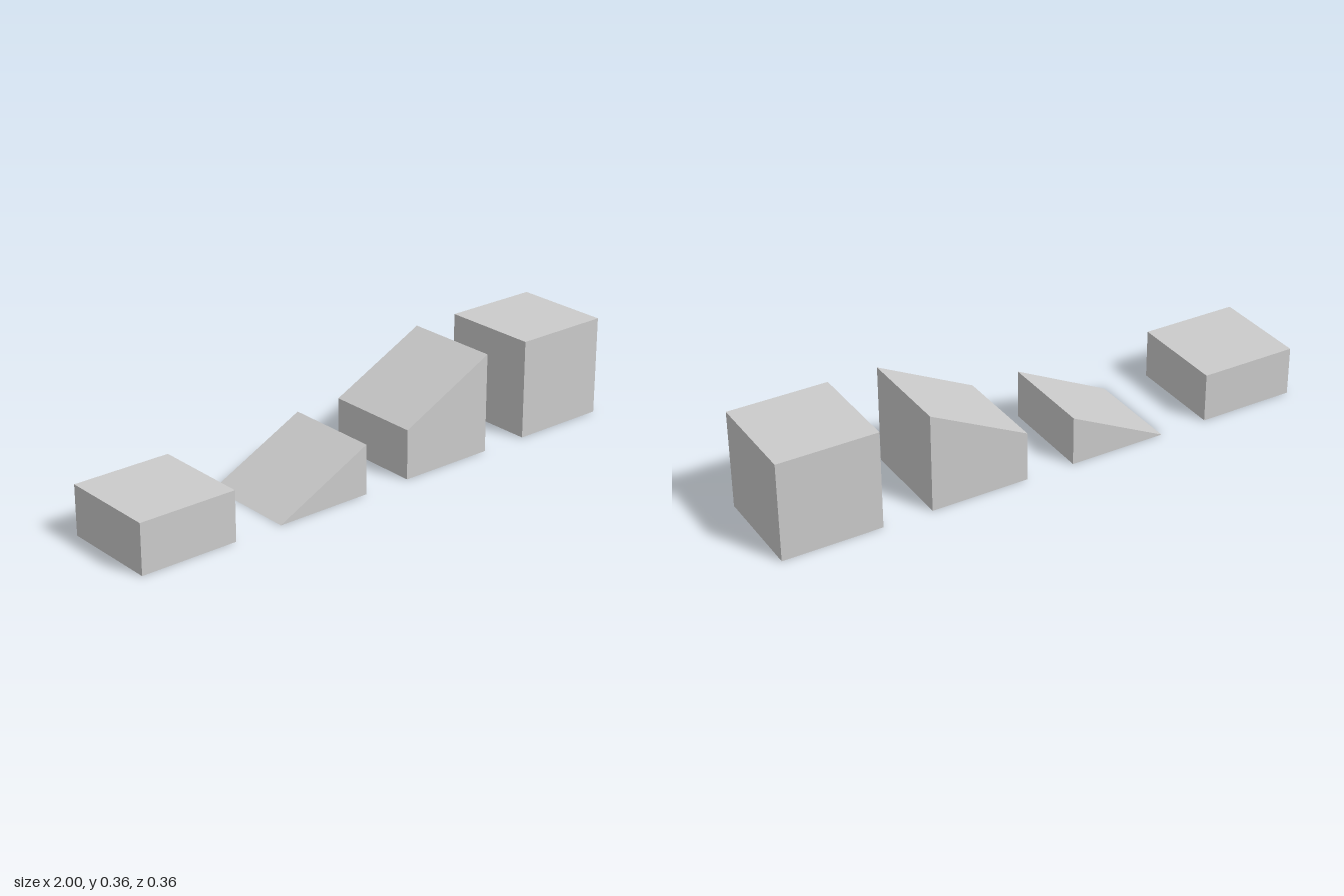
import * as THREE from 'three';

const SIZE = 4 / 11;          // footprint of every block
const HALF = SIZE / 2;        // height of the half-height block
const SPACING = SIZE * 1.5;   // distance between block centres

// Block with a square footprint whose top runs from leftY (at -x) to rightY (at +x)
function createBlock(name, leftY, rightY, material) {
  const shape = new THREE.Shape();
  shape.moveTo(-HALF, 0);
  shape.lineTo(HALF, 0);
  shape.lineTo(HALF, rightY);
  if (leftY > 0) shape.lineTo(-HALF, leftY);
  shape.closePath();

  const geometry = new THREE.ExtrudeGeometry(shape, { depth: SIZE, bevelEnabled: false });
  geometry.translate(0, 0, -HALF);
  const mesh = new THREE.Mesh(geometry, material);
  mesh.name = name;
  return mesh;
}

export function createModel() {
  const group = new THREE.Group();
  group.name = 'terrainBlocks';
  const material = new THREE.MeshStandardMaterial({ color: 0xcccccc, flatShading: true });

  // Row of blocks from -x to +x: name, left height, right height
  const blocks = [
    ['halfBlock', HALF, HALF],
    ['lowRamp', 0, HALF],
    ['highRamp', HALF, SIZE],
    ['fullBlock', SIZE, SIZE],
  ];
  blocks.forEach(([name, leftY, rightY], i) => {
    const block = createBlock(name, leftY, rightY, material);
    block.position.x = (i - 1.5) * SPACING;
    group.add(block);
  });

  return group;
}
